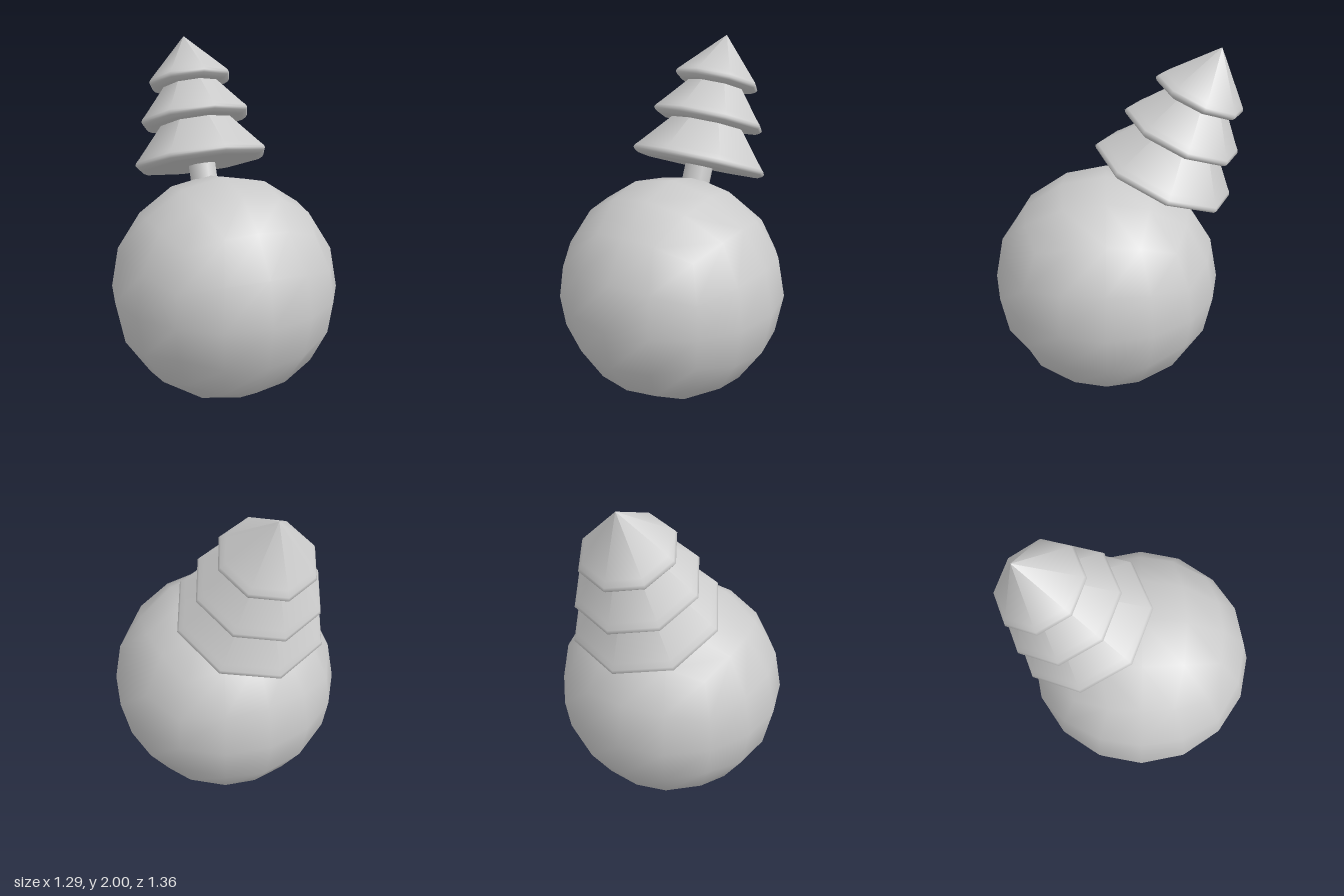
import * as THREE from 'three';

const material = new THREE.MeshStandardMaterial({ color: 0xcccccc });

// Round ball made from a cube grid pushed out to a sphere
function ballGeometry(radius) {
  const geo = new THREE.BoxGeometry(2, 2, 2, 4, 4, 4);
  const pos = geo.attributes.position;
  const v = new THREE.Vector3();
  const spread = (c) => Math.tan((c * Math.PI) / 4);
  for (let i = 0; i < pos.count; i++) {
    v.fromBufferAttribute(pos, i);
    v.set(spread(v.x), spread(v.y), spread(v.z)).normalize();
    geo.attributes.normal.setXYZ(i, v.x, v.y, v.z);
    pos.setXYZ(i, v.x * radius, v.y * radius, v.z * radius);
  }
  return geo;
}

// Eight-sided cone with a bevelled rim and a flat underside
function tierGeometry(top, rim, radius) {
  const profile = [
    [0, rim - 0.037],
    [radius - 0.055, rim - 0.037],
    [radius - 0.035, rim - 0.035],
    [radius - 0.01, rim - 0.022],
    [radius, rim - 0.008],
    [radius - 0.008, rim + 0.008],
    [radius - 0.03, rim + 0.031],
    [0, top],
  ].map(([x, y]) => new THREE.Vector2(x, y));
  return new THREE.LatheGeometry(profile, 8);
}

export function createModel() {
  const model = new THREE.Group();
  const add = (parent, name, geo) => {
    const mesh = new THREE.Mesh(geo, material);
    mesh.name = name;
    parent.add(mesh);
    return mesh;
  };

  add(model, 'ball', ballGeometry(0.643)).position.set(0, 0.643, 0.04);

  // Tree leaning backwards, its origin at the tip
  const tree = new THREE.Group();
  tree.name = 'tree';
  tree.position.set(-0.012, 2, -0.55);
  tree.rotation.x = THREE.MathUtils.degToRad(-22);
  model.add(tree);

  const tiers = [
    ['topTier', 0, -0.26, 0.25],
    ['middleTier', -0.1, -0.485, 0.33],
    ['bottomTier', -0.27, -0.73, 0.4],
  ];
  for (const [name, top, rim, radius] of tiers) add(tree, name, tierGeometry(top, rim, radius));

  add(tree, 'trunk', new THREE.CylinderGeometry(0.083, 0.083, 0.3, 8)).position.y = -0.85;

  return model;
}
